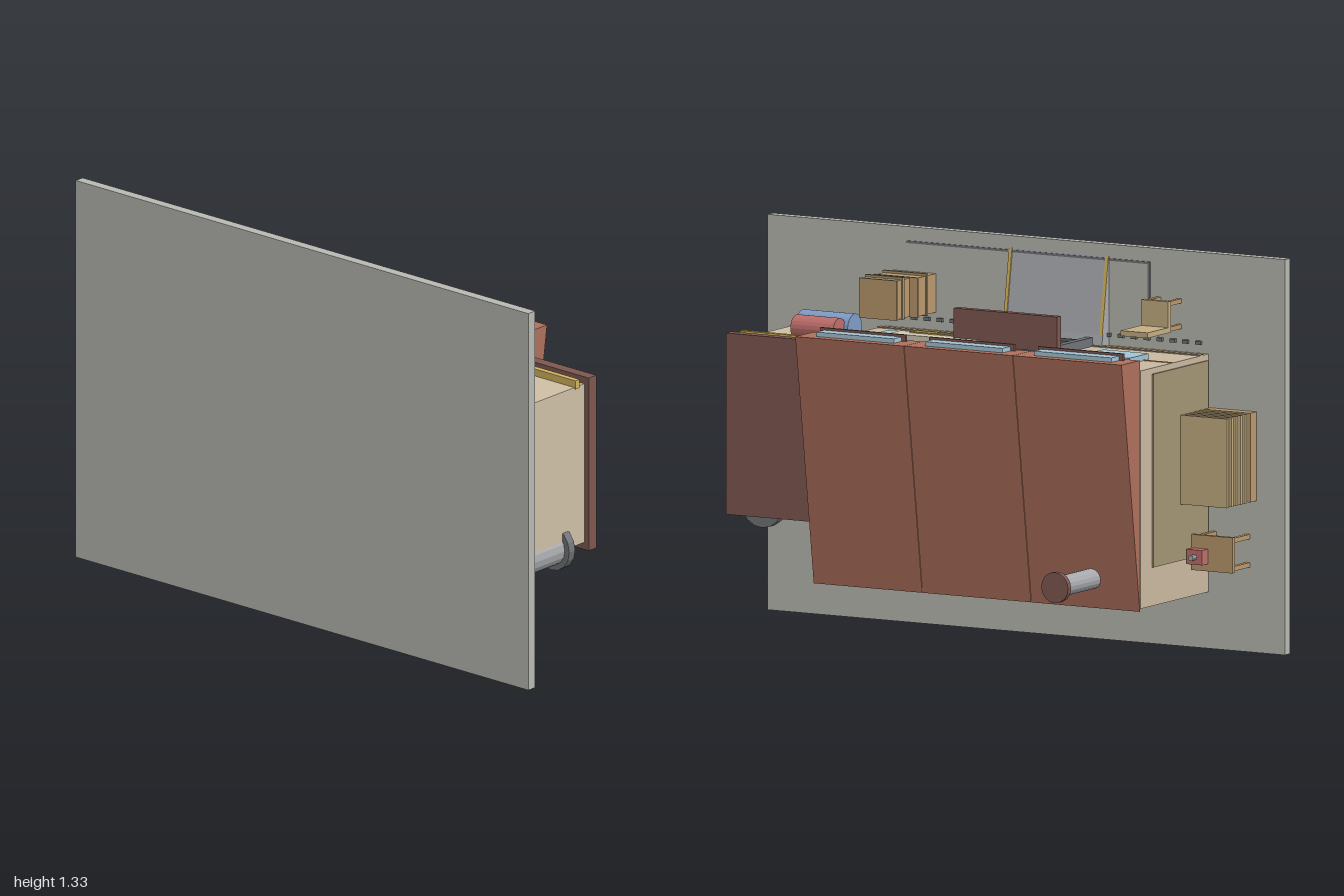
import * as THREE from 'three';

const C = {
  slab: 0xb9b9b2, wall: 0xc9b8a0, annex: 0xcdbfa5, roof: 0xae6f5c, dark: 0x7d5750, glass: 0xa3c3d3,
  yellow: 0xd2b25c, wood: 0xb8986c, pale: 0xc4ad82, steel: 0xa6a8ac, iron: 0x707376, cream: 0xd0c8b2,
  panel: 0xa39474, blue: 0x7f9cc6, red: 0xbd6e6a
};
const mats = {};
const mat = c => (mats[c] ??= new THREE.MeshStandardMaterial({ color: C[c], flatShading: true }));

export function createModel() {
  // The building is modelled upright (x, height y, front +z), then laid on its back wall plane
  const site = new THREE.Group();
  site.name = 'workshopSite';

  const add = (name, color, geo) => {
    const m = new THREE.Mesh(geo, mat(color));
    m.name = name;
    site.add(m);
    return m;
  };
  // Box from its limits
  const box = (name, color, x0, x1, y0, y1, z0, z1) =>
    add(name, color, new THREE.BoxGeometry(x1 - x0, y1 - y0, z1 - z0)
      .translate((x0 + x1) / 2, (y0 + y1) / 2, (z0 + z1) / 2));
  // Upright cylinder
  const post = (name, color, r, x, z, y0, y1) =>
    add(name, color, new THREE.CylinderGeometry(r, r, y1 - y0, 16).translate(x, (y0 + y1) / 2, z));
  // Side profile of [z, y] points, extruded from x0 to x1
  const prism = (name, color, x0, x1, pts) => {
    const shape = new THREE.Shape(pts.map(p => new THREE.Vector2(...p)));
    const geo = new THREE.ExtrudeGeometry(shape, { depth: x1 - x0, bevelEnabled: false });
    return add(name, color, geo.rotateY(-Math.PI / 2).translate(x1, 0, 0));
  };

  // Ground and main hall
  box('groundSlab', 'slab', -1, 1, -0.035, 0, 0, 1.33);
  box('hall', 'wall', -0.705, 0.545, 0, 0.445, 0.19, 0.99);
  box('hallBaseBand', 'panel', -0.705, 0.545, 0.03, 0.055, 0.985, 0.994);
  box('hallStripe', 'yellow', -0.705, 0.545, 0.236, 0.24, 0.985, 0.993);
  box('sidePanel', 'panel', -0.711, -0.7, 0.01, 0.37, 0.32, 0.97);

  // Sawtooth roof with clerestory windows
  for (let i = 0; i < 3; i++) {
    const x = -0.703 + i * 0.421;
    prism('roofTooth', 'roof', x, x + 0.419, [[0.18, 0.445], [1.025, 0.445], [1.025, 0.565]]);
    box('roofWindow', 'glass', x + 0.06, x + 0.36, 0.478, 0.528, 1.02, 1.04);
    box('roofWindowSill', 'dark', x + 0.045, x + 0.375, 0.468, 0.478, 1.02, 1.048);
  }

  // Chimney
  post('chimney', 'steel', 0.035, -0.525, 0.28, 0.42, 0.68);
  post('chimneyCap', 'dark', 0.052, -0.525, 0.28, 0.68, 0.7);

  // Annex
  box('annex', 'annex', 0.54, 0.915, 0, 0.345, 0.4, 0.96);
  box('annexRoof', 'dark', 0.547, 0.935, 0.345, 0.383, 0.375, 0.985);
  box('annexTrim', 'yellow', 0.547, 0.92, 0.295, 0.315, 0.955, 0.985);
  box('meterBox', 'yellow', 0.91, 0.925, 0, 0.047, 0.485, 0.61);
  post('tank', 'steel', 0.06, 0.865, 0.4, 0, 0.235);
  post('tankCap', 'iron', 0.08, 0.865, 0.4, 0.235, 0.265);

  // Shutter door with frame, ribs, canopy and ramp
  box('doorFrameTop', 'iron', -0.285, 0.035, 0.285, 0.308, 0.98, 1.02);
  for (const x of [-0.285, 0.01]) box('doorFrameSide', 'iron', x, x + 0.025, 0.05, 0.285, 0.98, 1.02);
  box('shutterDoor', 'steel', -0.26, 0.01, 0.05, 0.285, 0.98, 1.005);
  for (let i = 0; i < 5; i++) {
    const y = 0.075 + i * 0.046;
    box('shutterRib', 'iron', -0.25, 0, y, y + 0.009, 1, 1.014);
  }
  box('doorCanopy', 'dark', -0.325, 0.075, 0.32, 0.348, 1.01, 1.13);
  prism('loadingRamp', 'steel', -0.32, 0.065, [[0.98, 0], [1.29, 0], [1.03, 0.04], [0.98, 0.05]]);
  for (const x of [-0.32, 0.053])
    prism('rampEdge', 'yellow', x, x + 0.012, [[1.03, 0.03], [1.29, 0], [1.29, 0.004], [1.03, 0.044]]);

  // Front windows and plain sign board
  box('windowRight', 'glass', -0.595, -0.418, 0.205, 0.33, 0.98, 1.01);
  box('windowLeft', 'glass', 0.26, 0.42, 0.192, 0.297, 0.98, 1.01);
  box('signBoard', 'cream', -0.03, 0.31, 0.295, 0.373, 1.012, 1.03);
  box('signBracket', 'iron', 0.1, 0.18, 0.31, 0.35, 0.98, 1.013);
  box('signBar', 'yellow', 0, 0.26, 0.318, 0.324, 1.028, 1.034);
  box('signLamp', 'yellow', 0.175, 0.26, 0.283, 0.295, 1.01, 1.035);

  // Stacked crates with straps
  for (const [x0, y0, y1] of [[0.35, 0, 0.125], [0.375, 0.128, 0.22]]) {
    box('crate', 'wood', x0, 0.512, y0, y1, 1.05, 1.18);
    box('crateBatten', 'panel', x0 - 0.004, 0.516, (y0 + y1) / 2 - 0.006, (y0 + y1) / 2 + 0.006, 1.046, 1.188);
    box('crateLid', 'wood', x0 - 0.004, 0.516, y1 - 0.008, y1 + 0.002, 1.048, 1.182);
  }

  // Barrels lying on their sides
  const barrel = (color, r, x0, x1, y) =>
    add('barrel', color, new THREE.CylinderGeometry(r, r, x1 - x0, 20).rotateZ(Math.PI / 2)
      .translate((x0 + x1) / 2, y, 0.99));
  barrel('blue', 0.047, 0.61, 0.81, 0.09);
  barrel('red', 0.041, 0.625, 0.79, 0.165);

  // Chair
  box('chairBack', 'pale', -0.605, -0.5, 0.09, 0.23, 1.065, 1.083);
  box('chairSeat', 'pale', -0.605, -0.5, 0.075, 0.095, 1.065, 1.17);
  for (const x of [-0.6, -0.52])
    for (const z of [1.067, 1.153]) box('chairLeg', 'wood', x, x + 0.015, 0, 0.076, z, z + 0.015);

  // Stack of pallets beside the hall
  box('palletBase', 'wood', -0.89, -0.711, 0, 0.04, 0.51, 0.81);
  for (let i = 0; i < 5; i++) {
    const y = 0.06 + i * 0.03;
    box('palletDeck', 'pale', -0.89, -0.711, y, y + 0.013, 0.51, 0.81);
    for (const x of [-0.85, -0.755]) box('palletBlock', 'wood', x, x + 0.03, y - 0.02, y, 0.53, 0.79);
  }

  // Workbench with a vice
  box('benchTop', 'wood', -0.87, -0.711, 0.105, 0.122, 0.28, 0.4);
  for (const x of [-0.865, -0.735])
    for (const z of [0.285, 0.38]) box('benchLeg', 'wood', x, x + 0.016, 0, 0.106, z, z + 0.016);
  box('vice', 'red', -0.775, -0.715, 0.122, 0.16, 0.305, 0.355);
  add('viceScrew', 'steel', new THREE.CylinderGeometry(0.01, 0.01, 0.05, 8).translate(-0.745, 0.16, 0.33));

  // Yard markings and kerb studs
  box('yardLine', 'iron', -0.476, 0.463, 0, 0.004, 1.275, 1.283);
  box('yardLineSide', 'iron', -0.48, -0.472, 0, 0.004, 1.11, 1.283);
  for (let i = 0; i < 24; i++) {
    const x = -0.68 + i * 0.05;
    box('kerbStud', 'iron', x, x + 0.02, 0, 0.012, 1.02, 1.032);
  }

  // Lay the site down: its height points to -z and its front to +y
  site.rotation.x = -Math.PI / 2;
  site.position.z = 0.33;
  const model = new THREE.Group();
  model.name = 'workshop';
  model.add(site);
  return model;
}
